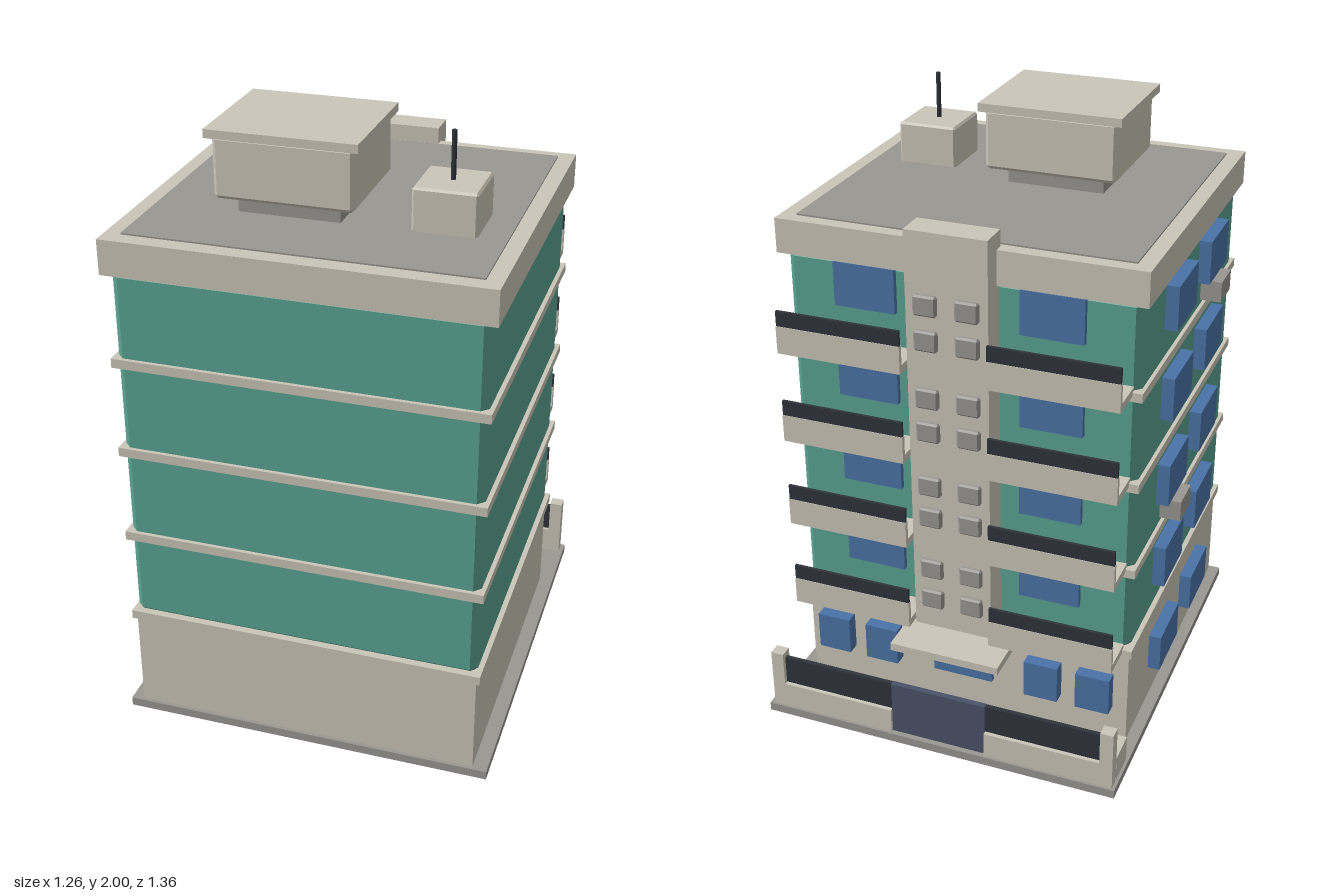
import * as THREE from 'three';
import { ConvexGeometry } from 'three/addons/geometries/ConvexGeometry.js';

export function createModel() {
  const model = new THREE.Group();
  const mat = (name, color) => {
    const m = new THREE.MeshStandardMaterial({ color });
    m.name = name;
    return m;
  };
  const stone = mat('stone', 0xcbc5b8);
  const grey = mat('grey', 0x999792);
  const green = mat('greenWall', 0x5aa392);
  const blue = mat('blueGlass', 0x4a73a8);
  const dark = mat('darkRail', 0x2f343c);
  const slate = mat('slateGate', 0x4a5269);

  const add = (name, geometry, material) => {
    const mesh = new THREE.Mesh(geometry, material);
    mesh.name = name;
    model.add(mesh);
    return mesh;
  };
  // Box given by its extents on each axis
  const box = (name, material, x0, x1, y0, y1, z0, z1) => {
    const m = add(name, new THREE.BoxGeometry(x1 - x0, y1 - y0, z1 - z0), material);
    m.position.set((x0 + x1) / 2, (y0 + y1) / 2, (z0 + z1) / 2);
    return m;
  };
  // Box with every edge cut by a flat chamfer c
  const chamferBox = (name, material, x0, x1, y0, y1, z0, z1, c) => {
    const h = [(x1 - x0) / 2, (y1 - y0) / 2, (z1 - z0) / 2];
    const points = [];
    for (const sx of [-1, 1]) for (const sy of [-1, 1]) for (const sz of [-1, 1])
      for (let axis = 0; axis < 3; axis++) {
        const d = h.map((v, i) => (i === axis ? v : v - c));
        points.push(new THREE.Vector3(sx * d[0], sy * d[1], sz * d[2]));
      }
    const m = add(name, new ConvexGeometry(points), material);
    m.position.set((x0 + x1) / 2, (y0 + y1) / 2, (z0 + z1) / 2);
    return m;
  };

  const cx = 0.0125;   // middle of the rear facade
  const floor = 0.308; // storey height

  // Main body
  box('baseSlab', grey, -0.6, 0.63, 0, 0.03, -0.68, 0.67);
  box('groundFloor', stone, -0.56, 0.582, 0.03, 0.38, -0.43, 0.658);
  chamferBox('upperFloors', green, -0.56, 0.582, 0.39, 1.61, -0.43, 0.658, 0.022);
  for (let i = 0; i < 4; i++) {
    const y = 0.37 + i * floor;
    box('floorBand', stone, -0.572, 0.596, y, y + 0.03, -0.445, 0.671);
  }

  // Roof
  box('roofParapet', stone, -0.582, 0.605, 1.6, 1.712, -0.451, 0.68);
  box('roofDeck', grey, -0.53, 0.553, 1.7, 1.717, -0.405, 0.626);
  box('tankPlinth', grey, -0.265, 0.055, 1.715, 1.775, 0.095, 0.365);
  chamferBox('waterTank', stone, -0.322, 0.114, 1.77, 1.965, 0.04, 0.42, 0.012);
  box('tankLid', stone, -0.34, 0.13, 1.96, 1.987, 0.024, 0.435);
  chamferBox('roofHut', stone, 0.267, 0.465, 1.7, 1.85, 0.16, 0.36, 0.007);
  const mast = add('antenna', new THREE.CylinderGeometry(0.008, 0.008, 0.16, 8), dark);
  mast.position.set(0.365, 1.92, 0.26);

  // Rear stair tower and entrance canopy
  box('stairTower', stone, cx - 0.132, cx + 0.132, 0.385, 1.765, -0.52, -0.42);
  box('canopy', stone, cx - 0.188, cx + 0.188, 0.315, 0.342, -0.607, -0.43);

  // Rear balconies, windows and tower vents on each upper storey
  for (let i = 0; i < 4; i++) {
    const y = 0.388 + i * floor;
    for (const s of [-1, 1]) {
      const c = cx + s * 0.346;
      box('balconySlab', stone, c - 0.207, c + 0.207, y, y + 0.025, -0.56, -0.43);
      box('balconyFront', stone, c - 0.207, c + 0.207, y + 0.025, y + 0.092, -0.56, -0.545);
      box('balconyRail', dark, c - 0.206, c + 0.206, y + 0.092, y + 0.142, -0.558, -0.548);
      const w = cx + s * 0.303;
      box('rearWindow', blue, w - 0.101, w + 0.101, y + 0.14, y + 0.285, -0.448, -0.42);
      const v = cx + s * 0.067;
      for (const vy of [0.075, 0.19])
        chamferBox('towerVent', grey, v - 0.038, v + 0.038, y + vy, y + vy + 0.067, -0.535, -0.51, 0.006);
    }
  }

  // Ground floor rear windows and entrance
  for (const s of [-1, 1]) for (const d of [0.287, 0.465]) {
    const c = cx + s * d;
    box('groundWindow', blue, c - 0.058, c + 0.058, 0.154, 0.286, -0.475, -0.42);
  }
  box('entranceGlass', blue, cx - 0.105, cx + 0.105, 0.15, 0.36, -0.448, -0.42);

  // Bay windows and cooling units on the right side
  for (let i = 0; i < 5; i++) {
    const y = i === 0 ? 0.154 : 0.187 + i * floor;
    const h = i === 0 ? 0.132 : 0.146;
    for (const z of [-0.08, 0.302])
      box('sideWindow', blue, -0.601, -0.55, y, y + h, z - 0.11, z + 0.11);
  }
  for (const [y, z] of [[0.725, -0.08], [1.34, 0.302]])
    box('coolingUnit', grey, -0.63, -0.55, y, y + 0.07, z - 0.06, z + 0.06);

  // Rear garden wall with posts, rails and gate
  for (const s of [-1, 1]) {
    const p = cx + s * 0.58;
    box('wallPost', stone, p - 0.022, p + 0.022, 0.03, 0.24, -0.672, -0.63);
    const c = cx + s * 0.362;
    box('lowWall', stone, c - 0.197, c + 0.197, 0.03, 0.12, -0.672, -0.63);
    box('wallRail', dark, c - 0.197, c + 0.197, 0.12, 0.22, -0.658, -0.643);
  }
  box('returnWall', stone, -0.59, -0.546, 0.03, 0.12, -0.63, -0.52);
  box('gate', slate, cx - 0.165, cx + 0.165, 0.03, 0.22, -0.661, -0.641);

  return model;
}
